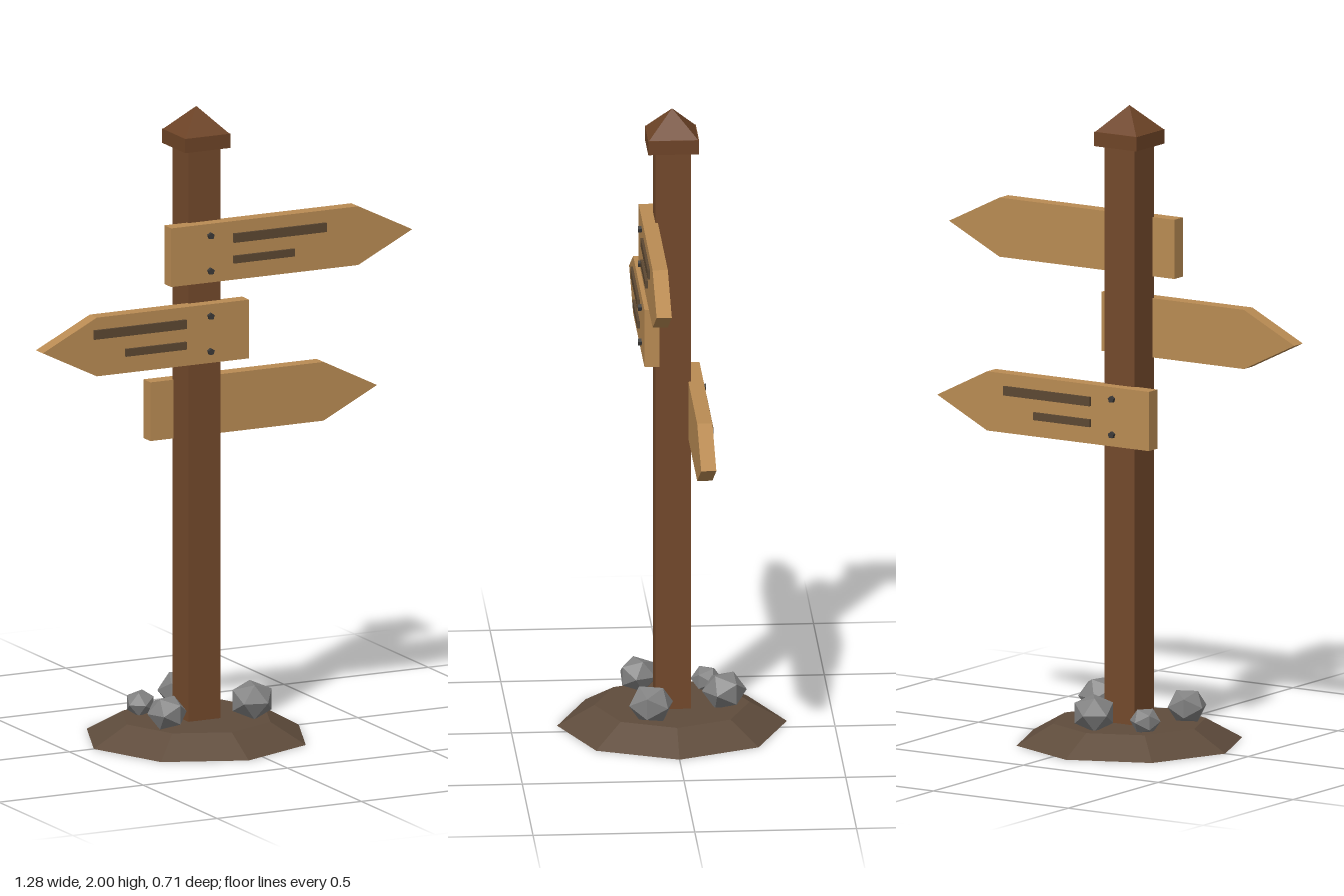
import * as THREE from 'three';

const mat = (name, color) => {
  const m = new THREE.MeshStandardMaterial({ color });
  m.name = name;
  m.flatShading = true;
  return m;
};

export function createModel() {
  const postWood = mat('post wood', 0x73492b);
  const capWood = mat('cap wood', 0x6e4427);
  const boardWood = mat('board wood', 0xb98b53);
  const markBrown = mat('mark brown', 0x5c4832);
  const nailIron = mat('nail iron', 0x3c3a38);
  const earth = mat('earth', 0x5f4c3c);
  const stone = mat('stone', 0x828282);

  const model = new THREE.Group();
  model.name = 'signpost';
  const add = (parent, name, geometry, material, x, y, z) => {
    const mesh = new THREE.Mesh(geometry, material);
    mesh.name = name;
    mesh.position.set(x, y, z);
    parent.add(mesh);
    return mesh;
  };
  const postX = -0.06;

  // Mound, post and pointed cap
  add(model, 'mound', new THREE.CylinderGeometry(0.24, 0.355, 0.065, 8), earth, postX, 0.0325, 0);
  add(model, 'post', new THREE.BoxGeometry(0.11, 1.88, 0.11), postWood, postX, 0.94, 0);
  add(model, 'capBlock', new THREE.BoxGeometry(0.157, 0.045, 0.157), capWood, postX, 1.8975, 0);
  const roof = new THREE.ConeGeometry(0.152 / Math.SQRT2, 0.08, 4).rotateY(Math.PI / 4);
  add(model, 'capPoint', roof, capWood, postX, 1.96, 0);

  // Arrow board: x measured from the post axis, pointing to +x, face at +z
  const boardGeometry = (dir) => {
    const pts = [[-0.135, -0.093], [0.513, -0.093], [0.7, 0], [0.513, 0.093], [-0.135, 0.093]];
    const shift = dir < 0 ? 0.12 : 0;
    const outline = pts.map(([x, y], i) =>
      new THREE.Vector2(dir * (x - (i >= 1 && i <= 3 ? shift : 0)), y));
    if (dir < 0) outline.reverse();
    return new THREE.ExtrudeGeometry(new THREE.Shape(outline), { depth: 0.047, bevelEnabled: false });
  };

  const addSign = (name, y, dir, barEdge, back) => {
    const sign = new THREE.Group();
    sign.name = name;
    sign.position.set(postX, y, 0);
    if (back) sign.rotation.y = Math.PI;
    add(sign, 'board', boardGeometry(dir), boardWood, 0, 0, 0.047);
    // Two raised bars standing for the writing
    [[0.32, 0.04, 0.029], [0.21, -0.028, 0.024]].forEach(([w, by, h]) =>
      add(sign, 'bar', new THREE.BoxGeometry(w, h, 0.012), markBrown,
        dir * (barEdge + w / 2), by, 0.096));
    // Nails
    for (const ny of [0.056, -0.056]) {
      const nail = new THREE.CylinderGeometry(0.011, 0.011, 0.016, 5).rotateX(Math.PI / 2).rotateZ(Math.PI);
      add(sign, 'nail', nail, nailIron, 0, ny, 0.097);
    }
    model.add(sign);
    return sign;
  };
  addSign('upperSign', 1.553, 1, 0.08, false);
  addSign('middleSign', 1.298, -1, 0.085, false);
  // The rear board is slightly shorter
  const rear = addSign('rearSign', 1.035, -1, 0.08, true);
  const rearBoard = rear.getObjectByName('board').geometry;
  const p = rearBoard.attributes.position;
  for (let i = 0; i < p.count; i++) {
    const x = p.getX(i);
    if (x > 0) p.setX(i, 0.135);
    else p.setX(i, x < -0.5 ? -0.65 : -0.465);
  }

  // Stones around the foot
  [
    [-0.21, 0.113, 0.095, 0.064, 0.4],
    [0.095, 0.117, 0.075, 0.072, 1.3],
    [-0.035, 0.113, -0.16, 0.07, 2.2],
    [-0.195, 0.098, -0.115, 0.049, 0.9],
  ].forEach(([x, y, z, r, turn]) => {
    const rock = add(model, 'stone', new THREE.IcosahedronGeometry(r, 0), stone, x, y, z);
    rock.scale.y = 0.88;
    rock.rotation.y = turn;
  });

  return model;
}
